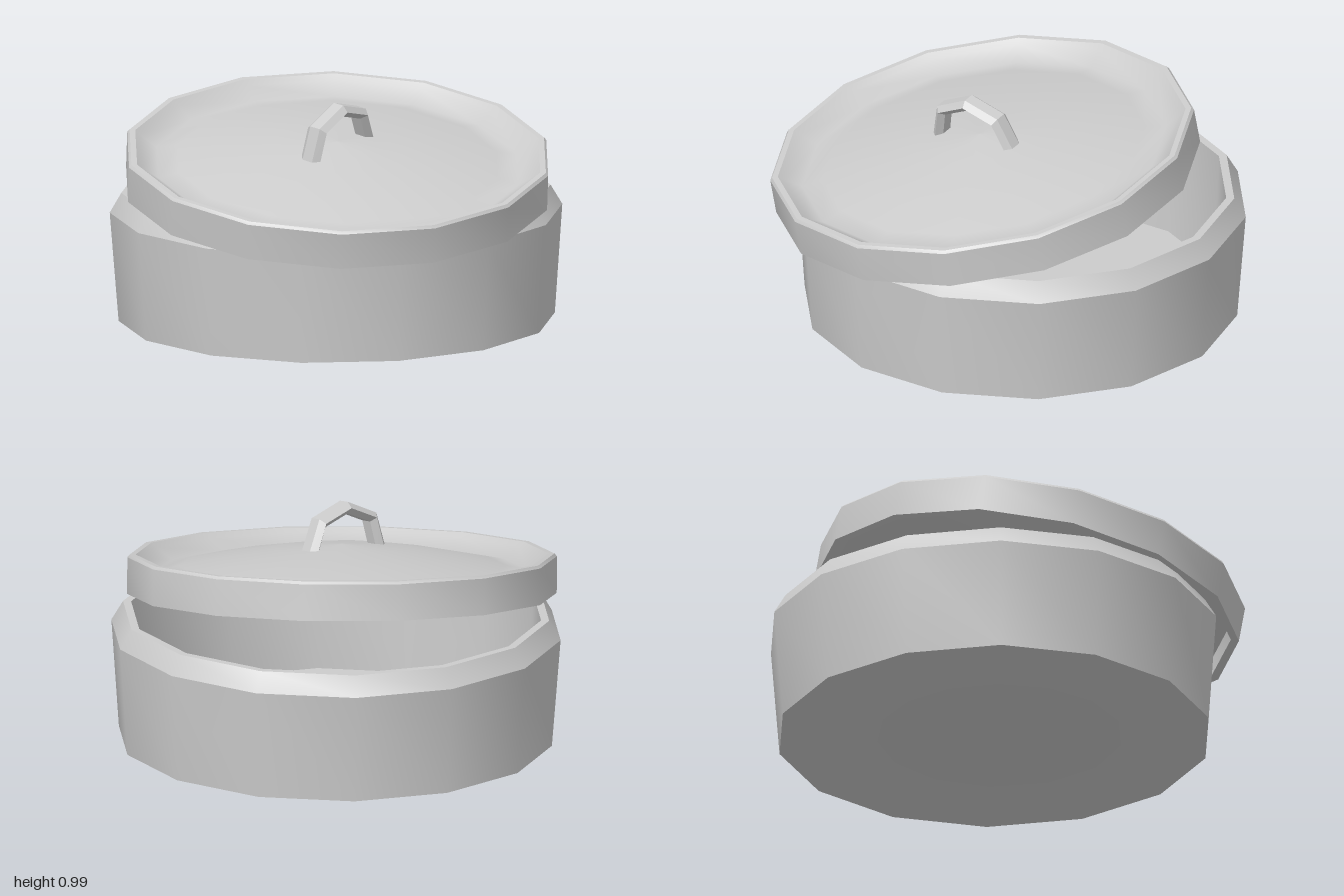
import * as THREE from 'three';
import { toCreasedNormals } from 'three/addons/utils/BufferGeometryUtils.js';

const SIDES = 14;
const CREASE = 0.5; // smooth around the 14 sides, sharp across profile corners
const material = new THREE.MeshStandardMaterial({ color: 0xcccccc });

function addMesh(parent, name, geometry) {
  const mesh = new THREE.Mesh(geometry, material);
  mesh.name = name;
  parent.add(mesh);
  return mesh;
}

// Turns a profile of [radius, height] pairs
function turned(profile) {
  return new THREE.LatheGeometry(profile.map(([r, y]) => new THREE.Vector2(r, y)), SIDES);
}

function createPot() {
  const pot = new THREE.Group();
  pot.name = 'pot';
  // Recessed foot, flared wall, bevelled rim, hollow inside
  addMesh(pot, 'potBody', toCreasedNormals(turned([
    [0, 0.02], [0.87, 0.02], [0.935, 0], [0.97, 0.475], [0.92, 0.56],
    [0.885, 0.56], [0.865, 0.03], [0, 0.03],
  ]), CREASE));
  pot.position.set(-0.035, 0.0075, -0.03);
  pot.rotation.z = 0.008;
  return pot;
}

function createLid() {
  const lid = new THREE.Group();
  lid.name = 'lid';

  // Underside, hanging rim and its top edge
  const rim = addMesh(lid, 'lidRim', toCreasedNormals(turned([
    [0, 0.02], [0.3, -0.005], [0.55, -0.04], [0.8, -0.085], [0.875, -0.085],
    [0.885, -0.17], [0.92, -0.17], [0.92, -0.012], [0.91, 0], [0.885, 0],
  ]), CREASE));

  // Softly domed top inside the rim
  const dome = addMesh(lid, 'lidDome', turned([
    [0.885, 0], [0.86, -0.02], [0.79, -0.068], [0.7, -0.05], [0.55, -0.02], [0.3, 0.02], [0, 0.045],
  ]));
  rim.rotation.y = dome.rotation.y = THREE.MathUtils.degToRad(10.6);

  // Arched handle with a wide six-sided section
  const arch = new THREE.CatmullRomCurve3([
    [0.21, 0], [0.165, 0.145], [0.015, 0.2], [-0.13, 0.14], [-0.18, 0],
  ].map(([z, y]) => new THREE.Vector3(0, y, z)));
  const tube = new THREE.TubeGeometry(arch, 4, 0.029, 6, false);
  tube.scale(1.75, 1, 1);
  const handle = addMesh(lid, 'lidHandle', toCreasedNormals(tube, CREASE));
  handle.position.x = 0.01;
  handle.rotation.y = -0.045;

  // Resting askew on the pot, low at the front left
  lid.position.set(0.065, 0.77, 0.105);
  lid.quaternion.setFromUnitVectors(
    new THREE.Vector3(0, 1, 0), new THREE.Vector3(0.12, 1, 0.12).normalize());
  return lid;
}

export function createModel() {
  const model = new THREE.Group();
  model.name = 'lidded pot';
  model.add(createPot(), createLid());
  return model;
}
